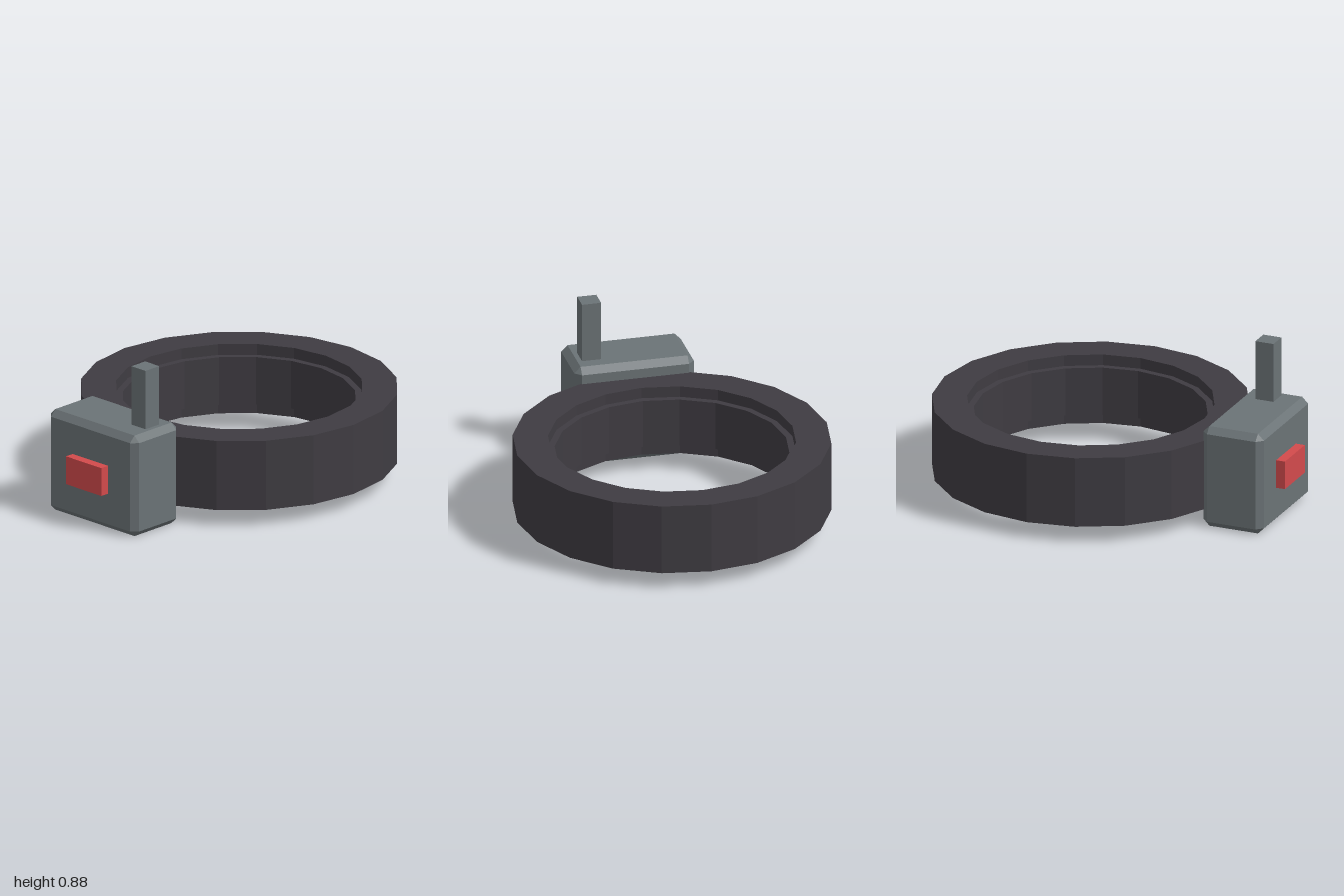
import * as THREE from 'three';
import { ConvexGeometry } from 'three/addons/geometries/ConvexGeometry.js';

const flat = (name, color) => {
  const m = new THREE.MeshStandardMaterial({ color });
  m.name = name;
  return m;
};

// Box with every edge and corner cut at 45 degrees
function chamferedBox(w, h, d, c) {
  const points = [];
  for (const x of [-1, 1]) for (const y of [-1, 1]) for (const z of [-1, 1]) {
    for (let axis = 0; axis < 3; axis++) {
      const inset = [c, c, c];
      inset[axis] = 0;
      points.push(new THREE.Vector3(
        x * (w / 2 - inset[0]), y * (h / 2 - inset[1]), z * (d / 2 - inset[2])));
    }
  }
  return new ConvexGeometry(points);
}

export function createModel() {
  const model = new THREE.Group();
  model.name = 'collar';
  const strapMat = flat('charcoal strap', 0x3f3c42);
  const caseMat = flat('grey casing', 0x6b7376);
  const redMat = flat('red light', 0xd24a4c);
  strapMat.flatShading = true;

  const add = (name, geometry, material, x, y, z) => {
    const mesh = new THREE.Mesh(geometry, material);
    mesh.name = name;
    mesh.position.set(x, y, z);
    model.add(mesh);
  };

  // Twenty-sided strap with a padded inner band set back from both rims
  const profile = [
    [0.835, 0.09], [0.835, 0.475], [0.65, 0.475], [0.65, 0.415],
    [0.615, 0.415], [0.615, 0.15], [0.65, 0.15], [0.65, 0.09], [0.835, 0.09],
  ].map(([r, y]) => new THREE.Vector2(r, y));
  add('strap', new THREE.LatheGeometry(profile, 20), strapMat, 0, 0, -0.165);

  // Receiver on the front, with its antenna and indicator
  add('receiverCase', chamferedBox(0.645, 0.56, 0.345, 0.034), caseMat, 0, 0.28, 0.777);
  add('antenna', new THREE.BoxGeometry(0.103, 0.345, 0.103), caseMat, 0.212, 0.7125, 0.756);
  add('indicatorLight', new THREE.BoxGeometry(0.258, 0.155, 0.07), redMat, 0, 0.282, 0.965);

  return model;
}
